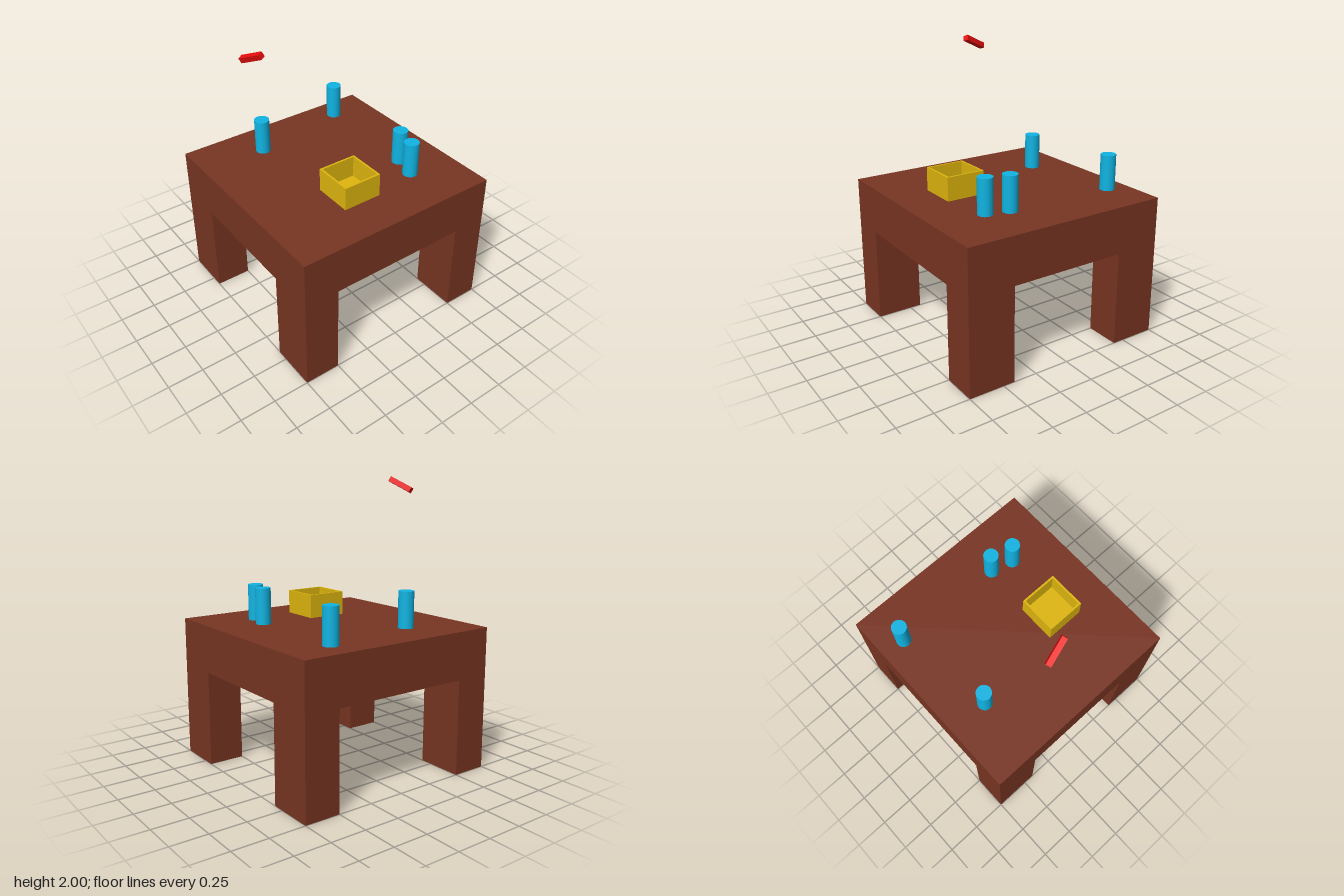
import * as THREE from 'three';

const material = (color) => new THREE.MeshStandardMaterial({ color });
const brown = material(0x783522);
const blue = material(0x10b4e2);
const yellow = material(0xdfb60e);
const red = material(0xea0d0d);

function addMesh(parent, name, geometry, mat, x, y, z) {
  const mesh = new THREE.Mesh(geometry, mat);
  mesh.name = name;
  mesh.position.set(x, y, z);
  parent.add(mesh);
  return mesh;
}

// Thick table top on four block legs
function createTable() {
  const table = new THREE.Group();
  table.name = 'table';
  const size = 1.5, under = 0.67, legW = 0.25, legD = 0.33;
  addMesh(table, 'tableTop', new THREE.BoxGeometry(size, 1 - under, size), brown, 0, (1 + under) / 2, 0);
  const leg = new THREE.BoxGeometry(legW, under, legD);
  for (const sz of [1, -1]) {
    for (const sx of [1, -1]) {
      const name = (sz > 0 ? 'front' : 'back') + (sx > 0 ? 'Left' : 'Right') + 'Leg';
      addMesh(table, name, leg, brown, sx * (size - legW) / 2, under / 2, sz * (size - legD) / 2);
    }
  }
  return table;
}

// Open square tray with thin walls and a floor
function createTray() {
  const tray = new THREE.Group();
  tray.name = 'openTray';
  const size = 0.28, wall = 0.014, height = 0.166;
  const square = (shape, h) => {
    shape.moveTo(-h, -h).lineTo(h, -h).lineTo(h, h).lineTo(-h, h).closePath();
    return shape;
  };
  const outline = square(new THREE.Shape(), size / 2);
  outline.holes.push(square(new THREE.Path(), size / 2 - wall));
  const walls = new THREE.ExtrudeGeometry(outline, { depth: height, bevelEnabled: false });
  walls.rotateX(-Math.PI / 2);
  addMesh(tray, 'trayWalls', walls, yellow, 0, 0, 0);
  const inner = size - 2 * wall;
  addMesh(tray, 'trayFloor', new THREE.BoxGeometry(inner, wall, inner), yellow, 0, wall / 2, 0);
  tray.position.set(-0.095, 1.008, 0.324);
  return tray;
}

export function createModel() {
  const model = new THREE.Group();
  model.name = 'tableWithObjects';
  model.add(createTable(), createTray());

  // Upright cylinders scattered on the table
  const cylinder = new THREE.CylinderGeometry(0.053, 0.053, 0.25, 32);
  const spots = [[-0.277, -0.457], [0.435, -0.575], [0.416, 0.225], [0.376, 0.387]];
  spots.forEach(([x, z], i) => addMesh(model, `cylinder${i + 1}`, cylinder, blue, x, 1.133, z));

  // Small tilted stick floating above the table
  const center = new THREE.Vector3(-0.523, 1.94, -0.108);
  const stick = addMesh(model, 'floatingStick', new THREE.BoxGeometry(0.037, 0.037, 0.187), red, ...center);
  stick.lookAt(center.clone().add(new THREE.Vector3(0.235, 0.396, 0.888)));
  stick.rotateZ(0.35);

  return model;
}
